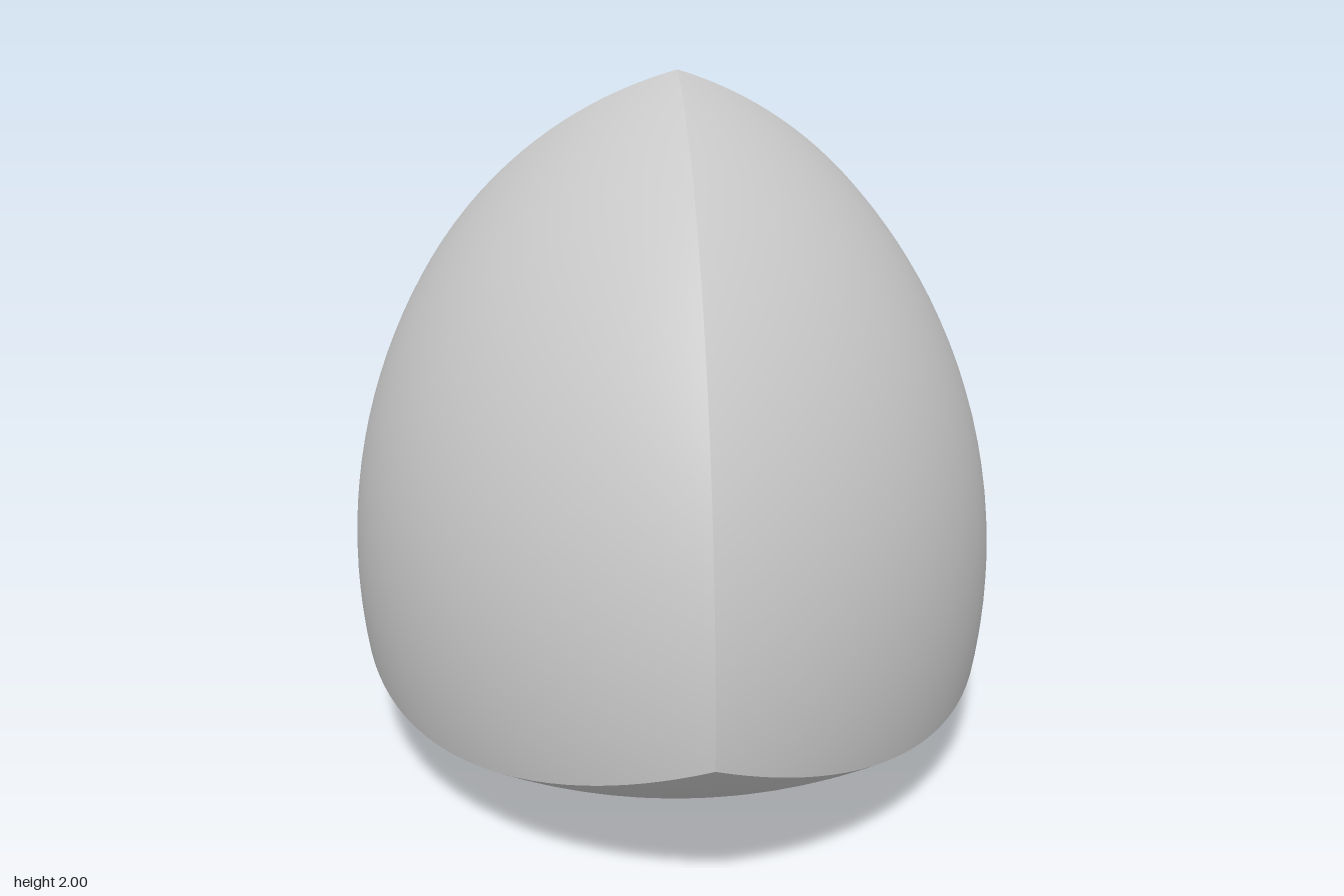
import * as THREE from 'three';

const CENTRE = new THREE.Vector3(-0.125, 0.8225, 0); // centroid of the tetrahedron
const CORNER = 1.1777; // centroid to corner
const OFFSET = 0.8255; // centroid to the centre of each face's sphere
const RADIUS = 1.648; // radius of each face's sphere
const STEPS = 40;

// Spherical face over triangle a, b, c, opposite the given corner
function bulgedFace(a, b, c, opposite) {
  const outward = b.clone().sub(a).cross(c.clone().sub(a)).dot(a) > 0;
  if (!outward) [b, c] = [c, b];
  const ball = opposite.clone().setLength(OFFSET);
  const positions = [], normals = [], index = [];
  const at = (i, j) => (i * (i + 1)) / 2 + j;

  for (let i = 0; i <= STEPS; i++) {
    for (let j = 0; j <= i; j++) {
      // flat triangle point, pushed out from the centroid onto the sphere
      const d = new THREE.Vector3()
        .addScaledVector(a, 1 - i / STEPS)
        .addScaledVector(b, (i - j) / STEPS)
        .addScaledVector(c, j / STEPS)
        .normalize();
      const k = d.dot(ball);
      d.multiplyScalar(k + Math.sqrt(k * k + RADIUS ** 2 - OFFSET ** 2));
      positions.push(...d.toArray());
      normals.push(...d.sub(ball).normalize().toArray());
      if (i < STEPS) index.push(at(i, j), at(i + 1, j), at(i + 1, j + 1));
      if (i < STEPS && j < i) index.push(at(i, j), at(i + 1, j + 1), at(i, j + 1));
    }
  }
  const geometry = new THREE.BufferGeometry();
  geometry.setAttribute('position', new THREE.Float32BufferAttribute(positions, 3));
  geometry.setAttribute('normal', new THREE.Float32BufferAttribute(normals, 3));
  geometry.setIndex(index);
  return geometry;
}

export function createModel() {
  const group = new THREE.Group();
  group.name = 'bulgedTetrahedron';
  const material = new THREE.MeshStandardMaterial({ color: 0xcccccc });

  // Apex, then three base corners starting at +x
  const corners = [new THREE.Vector3(0, CORNER, 0)];
  for (let i = 0; i < 3; i++) {
    const angle = (i * Math.PI * 2) / 3;
    const r = (CORNER * Math.sqrt(8)) / 3;
    corners.push(new THREE.Vector3(r * Math.cos(angle), -CORNER / 3, r * Math.sin(angle)));
  }

  // One curved face opposite each corner
  ['bottomFace', 'rightFace', 'backFace', 'frontFace'].forEach((name, i) => {
    const [a, b, c] = corners.filter((_, j) => j !== i);
    const face = new THREE.Mesh(bulgedFace(a, b, c, corners[i]), material);
    face.name = name;
    face.position.copy(CENTRE);
    group.add(face);
  });
  return group;
}
